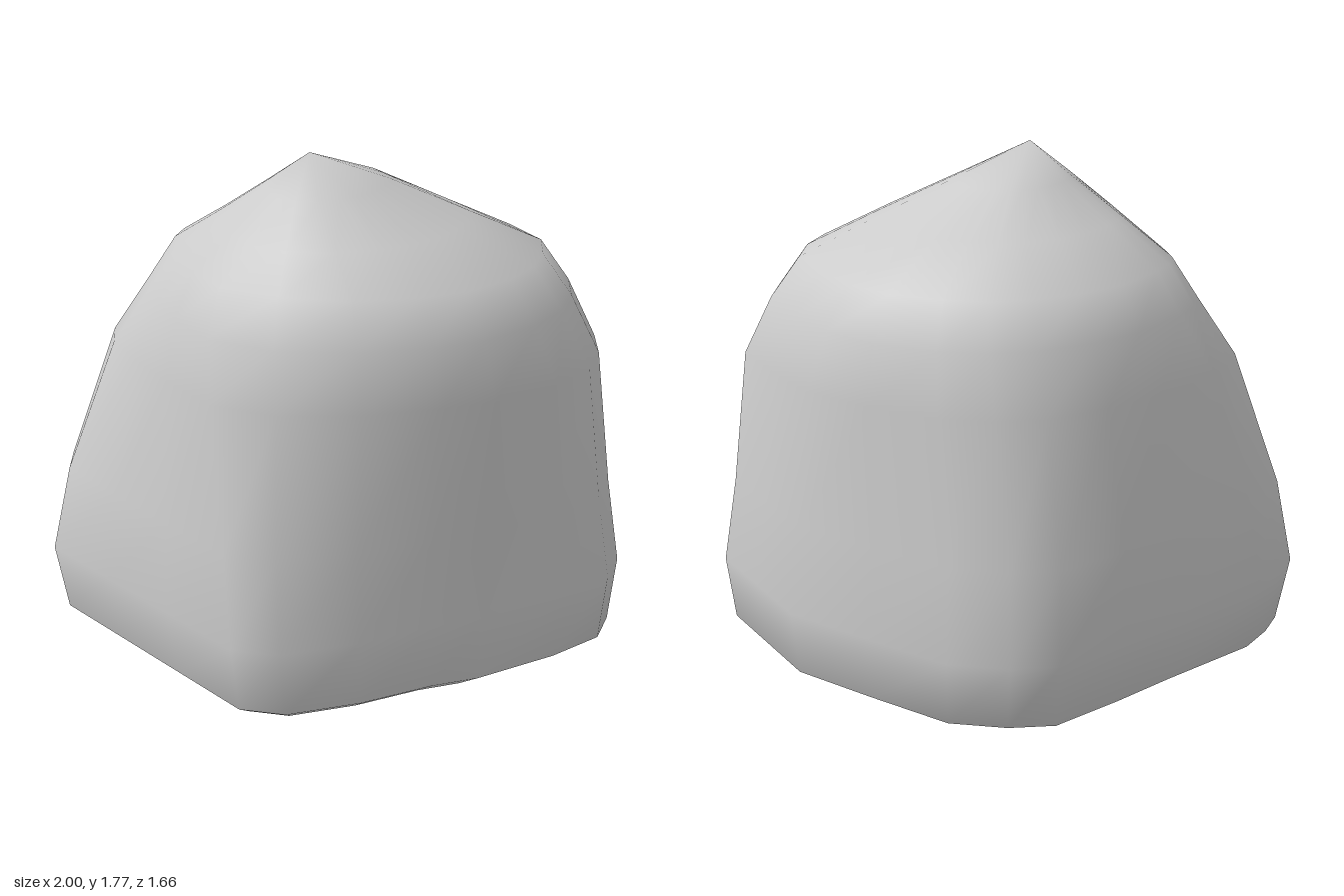
import * as THREE from 'three';

const { lerp, mapLinear } = THREE.MathUtils;

// Scales an outline of (x, z) points to the range -1..1 on both axes
function normalise(outline) {
  const box = new THREE.Box2().setFromPoints(outline.map(([x, z]) => new THREE.Vector2(x, z)));
  return outline.map(([x, z]) => [
    mapLinear(x, box.min.x, box.max.x, -1, 1),
    mapLinear(z, box.min.y, box.max.y, -1, 1),
  ]);
}

// Angular foot and rounder shoulder seen from above, point for point
const FOOT = normalise([
  [-0.95, 0.38], [-0.66, 0.53], [-0.37, 0.68], [-0.08, 0.83], [0.08, 0.81], [0.3, 0.66],
  [0.5, 0.48], [0.64, 0.38], [0.86, 0.15], [0.99, -0.03], [1, -0.18], [0.96, -0.34],
  [0.76, -0.5], [0.56, -0.66], [0.25, -0.75], [-0.05, -0.83], [-0.25, -0.8], [-0.4, -0.74],
  [-0.56, -0.53], [-0.7, -0.33], [-0.93, -0.02], [-0.98, 0.12], [-1, 0.24],
]);
const SHOULDER = normalise([
  [-0.5, 0.2], [-0.43, 0.33], [-0.33, 0.46], [-0.19, 0.58], [0.02, 0.61], [0.24, 0.57],
  [0.43, 0.47], [0.55, 0.37], [0.65, 0.2], [0.69, 0.05], [0.69, -0.1], [0.65, -0.26],
  [0.5, -0.42], [0.36, -0.53], [0.2, -0.59], [0.02, -0.6], [-0.12, -0.58], [-0.24, -0.53],
  [-0.37, -0.42], [-0.47, -0.29], [-0.54, -0.1], [-0.56, 0], [-0.55, 0.1],
]);

// Levels: height, x and z limits, blend from foot (0) to shoulder (1)
const LEVELS = [
  [0, -0.86, 0.87, -0.69, 0.73, 0],
  [0.05, -0.96, 0.98, -0.79, 0.8, 0],
  [0.29, -1, 1, -0.83, 0.83, 0],
  [0.6, -0.94, 0.95, -0.78, 0.785, 0.15],
  [1.08, -0.78, 0.89, -0.73, 0.73, 0.6],
  [1.28, -0.65, 0.79, -0.68, 0.69, 0.9],
  [1.42, -0.56, 0.69, -0.6, 0.61, 1],
  [1.54, -0.37, 0.45, -0.37, 0.51, 1],
  [1.66, -0.19, 0.2, -0.14, 0.37, 1],
];
const APEX = [-0.03, 1.77, 0.18];

function ring([y, x0, x1, z0, z1, blend]) {
  return FOOT.map(([x, z], j) => [
    mapLinear(lerp(x, SHOULDER[j][0], blend), -1, 1, x0, x1),
    y,
    mapLinear(lerp(z, SHOULDER[j][1], blend), -1, 1, z0, z1),
  ]);
}

function boulderGeometry() {
  const n = FOOT.length;
  const points = LEVELS.flatMap(ring);
  const faces = [];
  const apex = points.push(APEX) - 1;
  // separate rim so the underside stays flat
  const base = points.length;
  points.push(...ring(LEVELS[0]), [0, 0, 0]);
  const centre = points.length - 1;

  for (let j = 0; j < n; j++) {
    const k = (j + 1) % n;
    // sides
    for (let i = 0; i < LEVELS.length - 1; i++) {
      const a = i * n + j, b = i * n + k;
      faces.push(a, b, b + n, a, b + n, a + n);
    }
    // peak and underside
    const top = (LEVELS.length - 1) * n;
    faces.push(top + j, top + k, apex);
    faces.push(base + k, base + j, centre);
  }

  const geometry = new THREE.BufferGeometry();
  geometry.setAttribute('position', new THREE.Float32BufferAttribute(points.flat(), 3));
  geometry.setIndex(faces);
  geometry.computeVertexNormals();
  return geometry;
}

export function createModel() {
  const group = new THREE.Group();
  const boulder = new THREE.Mesh(
    boulderGeometry(),
    new THREE.MeshStandardMaterial({ color: 0xcccccc }),
  );
  boulder.name = 'boulder';
  group.add(boulder);
  return group;
}
